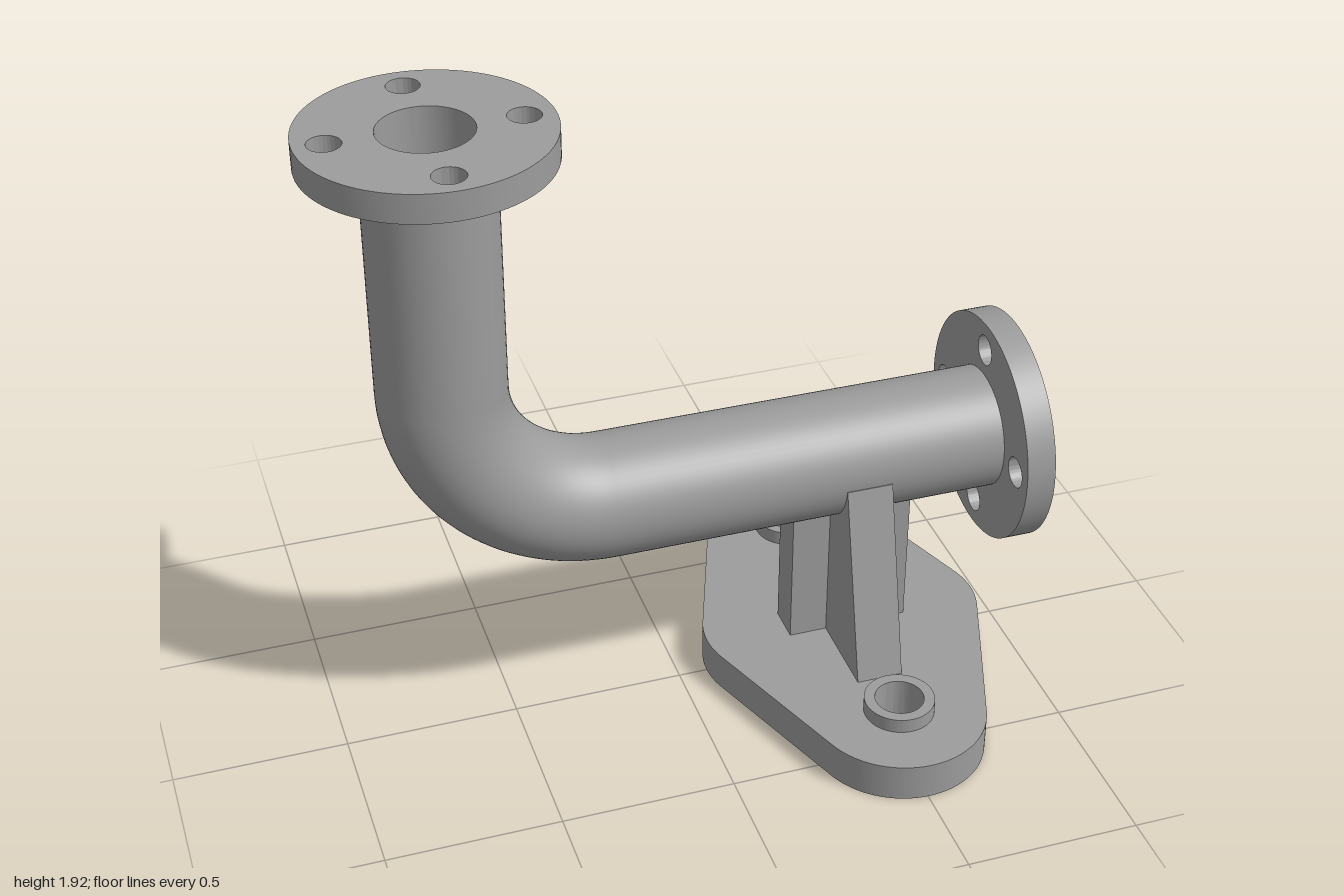
import * as THREE from 'three';
import { toCreasedNormals } from 'three/addons/utils/BufferGeometryUtils.js';

const PIPE_R = 0.178, BORE_R = 0.128, BEND_R = 0.445;
const RISER_X = -0.663, PIPE_Y = 0.709, SUPPORT_X = 0.507;
const BEND_X = RISER_X + BEND_R, BEND_Y = PIPE_Y + BEND_R;

function circleHole(x, y, r) {
  return new THREE.Path().absarc(x, y, r, 0, Math.PI * 2, true);
}

function extrude(shape, depth) {
  const g = new THREE.ExtrudeGeometry(shape, { depth, bevelEnabled: false, curveSegments: 48 });
  return toCreasedNormals(g, 0.4);
}

// Round disc with a central bore and four bolt holes
function flangeGeometry(depth) {
  const s = new THREE.Shape().absarc(0, 0, 0.337, 0, Math.PI * 2);
  s.holes.push(circleHole(0, 0, BORE_R));
  for (let i = 0; i < 4; i++) {
    const a = i * Math.PI / 2;
    s.holes.push(circleHole(0.255 * Math.cos(a), 0.255 * Math.sin(a), 0.045));
  }
  return extrude(s, depth);
}

export function createModel() {
  const group = new THREE.Group();
  group.name = 'flangedPipeElbow';
  const metal = new THREE.MeshStandardMaterial({ color: 0x9c9c9c, side: THREE.DoubleSide });
  metal.name = 'grey metal';

  function add(name, geometry, x, y, z) {
    const mesh = new THREE.Mesh(geometry, metal);
    mesh.name = name;
    mesh.position.set(x, y, z);
    group.add(mesh);
  }

  // Pipe: outer skin and inner bore, each a riser, a quarter bend and a run
  for (const [label, r] of [['pipe', PIPE_R], ['bore', BORE_R]]) {
    const riserH = 1.836 - BEND_Y, runL = 0.916 - BEND_X;
    add(label + 'Riser', new THREE.CylinderGeometry(r, r, riserH, 64, 1, true),
      RISER_X, BEND_Y + riserH / 2, 0);
    add(label + 'Bend', new THREE.TorusGeometry(BEND_R, r, 64, 40, Math.PI / 2).rotateZ(Math.PI),
      BEND_X, BEND_Y, 0);
    add(label + 'Run', new THREE.CylinderGeometry(r, r, runL, 64, 1, true).rotateZ(Math.PI / 2),
      BEND_X + runL / 2, PIPE_Y, 0);
  }

  // Flanges at both pipe ends
  add('topFlange', flangeGeometry(0.082).rotateX(-Math.PI / 2), RISER_X, 1.835, 0);
  add('sideFlange', flangeGeometry(0.085).rotateY(Math.PI / 2), 0.915, PIPE_Y, 0);

  // Base plate: rounded diamond with two mounting holes
  const t = 0.355, endZ = 0.465;
  const base = new THREE.Shape();
  base.absarc(0.172, 0, 0.25, -t, t);
  base.absarc(0, endZ, 0.25, t, Math.PI - t);
  base.absarc(-0.172, 0, 0.25, Math.PI - t, Math.PI + t);
  base.absarc(0, -endZ, 0.25, Math.PI + t, 2 * Math.PI - t);
  base.holes.push(circleHole(0, endZ, 0.07), circleHole(0, -endZ, 0.07));
  add('basePlate', extrude(base, 0.113).rotateX(-Math.PI / 2), SUPPORT_X, 0, 0);

  // Raised rings around the mounting holes
  for (const side of [1, -1]) {
    const ring = new THREE.Shape().absarc(0, 0, 0.101, 0, Math.PI * 2);
    ring.holes.push(circleHole(0, 0, 0.07));
    add(side > 0 ? 'frontBoss' : 'backBoss', extrude(ring, 0.044).rotateX(-Math.PI / 2),
      SUPPORT_X, 0.113, side * endZ);
  }

  // Tapered saddle rib cradling the pipe
  const rib = new THREE.Shape();
  rib.moveTo(-0.32, 0.11);
  rib.lineTo(0.32, 0.11);
  rib.lineTo(0.179, 0.69);
  rib.absarc(0, PIPE_Y, 0.165, -0.115, Math.PI + 0.115, true);
  rib.lineTo(-0.179, 0.69);
  rib.closePath();
  add('saddleRib', extrude(rib, 0.136).rotateY(Math.PI / 2), SUPPORT_X - 0.068, 0, 0);

  // Cross rib running along the pipe
  add('crossRib', new THREE.BoxGeometry(0.36, 0.445, 0.11), SUPPORT_X, 0.3325, 0);

  return group;
}
